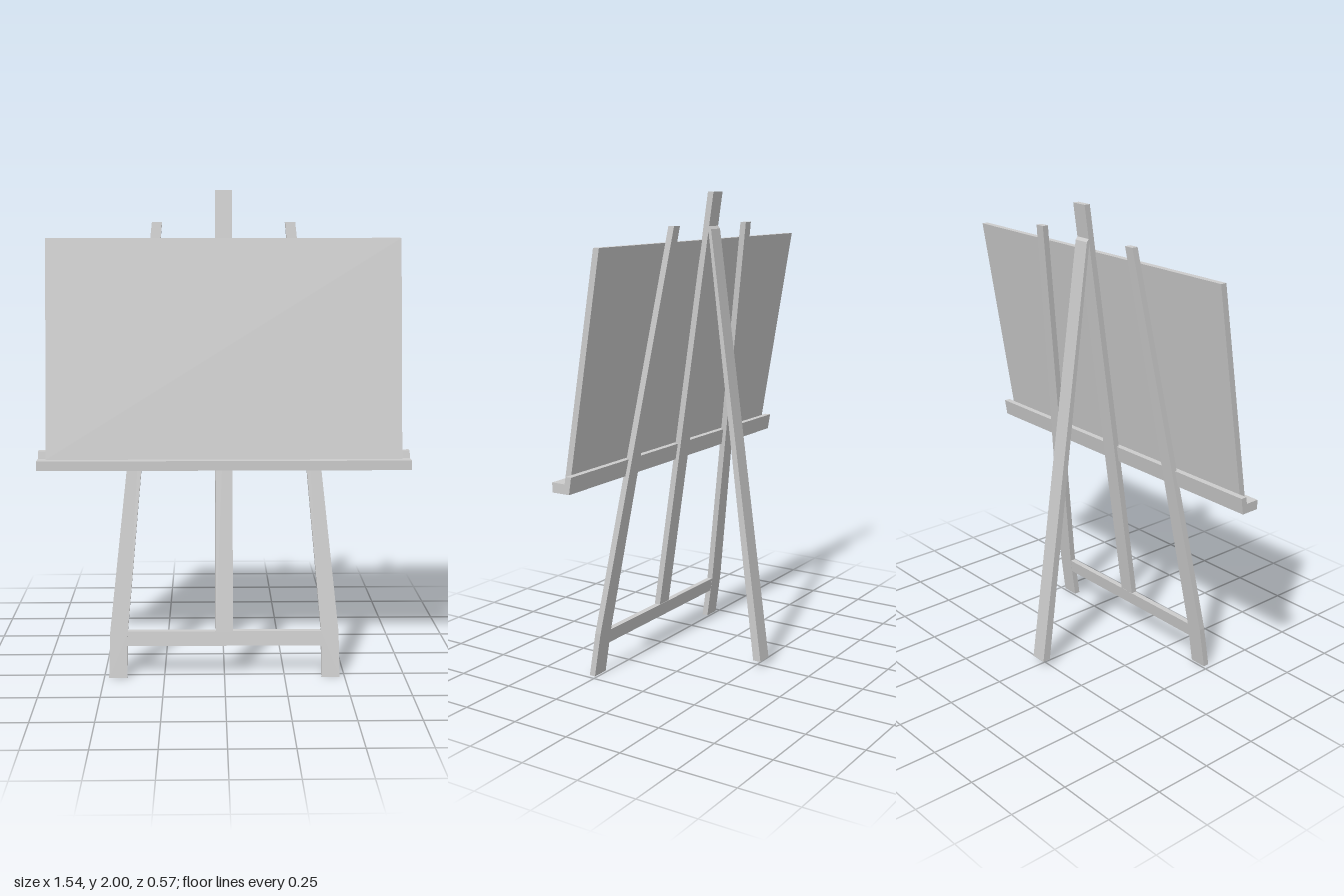
import * as THREE from 'three';

const material = new THREE.MeshStandardMaterial({ color: 0xcccccc, flatShading: true });
const LEAN = 0.155; // backward lean of the front frame

function extrude(points, depth) {
  const shape = new THREE.Shape(points.map(([a, b]) => new THREE.Vector2(a, b)));
  return new THREE.ExtrudeGeometry(shape, { depth, bevelEnabled: false });
}

function addMesh(group, name, geometry) {
  geometry.computeVertexNormals();
  const mesh = new THREE.Mesh(geometry, material);
  mesh.name = name;
  group.add(mesh);
}

// Slab with an (x, y) outline, leaning back; z0 is its rear face at y = 0
function leaningSlab(points, thickness, z0, lean = LEAN) {
  const geometry = extrude(points, thickness);
  const p = geometry.attributes.position;
  for (let i = 0; i < p.count; i++) p.setZ(i, p.getZ(i) + z0 - lean * p.getY(i));
  return geometry;
}

// Bar with a (z, y) side profile, running across x and centred
function crosswise(points, width) {
  const geometry = extrude(points.map(([z, y]) => [-z, y]), width);
  geometry.rotateY(Math.PI / 2);
  geometry.translate(-width / 2, 0, 0);
  return geometry;
}

const rect = (halfWidth, y0, y1) => [[-halfWidth, y0], [halfWidth, y0], [halfWidth, y1], [-halfWidth, y1]];

export function createModel() {
  const easel = new THREE.Group();
  easel.name = 'easel';

  // Tapered front legs with a kink at the crossbar
  const leg = [[0.405, 0], [0.48, 0], [0.475, 0.19], [0.297, 1.87], [0.255, 1.87], [0.402, 0.19]];
  for (const side of [1, -1]) {
    addMesh(easel, side > 0 ? 'leftFrontLeg' : 'rightFrontLeg',
      leaningSlab(leg.map(([x, y]) => [x * side, y]), 0.027, 0.26));
  }

  // Crossbar and the central post standing on it
  addMesh(easel, 'crossbar', leaningSlab(rect(0.403, 0.13, 0.19), 0.025, 0.261));
  addMesh(easel, 'centralPost', leaningSlab(rect(0.035, 0.19, 2), 0.027, 0.262));

  // Rear leg, thinner towards the joint
  addMesh(easel, 'rearLeg',
    crosswise([[-0.25, 0.03], [-0.286, 0.03], [-0.036, 1.85], [-0.02, 1.87]], 0.07));

  // L-shaped ledge with a rear lip
  addMesh(easel, 'ledge', crosswise([
    [0.144, 0.865], [0.225, 0.865], [0.225, 0.905], [0.164, 0.905], [0.159, 0.935], [0.132, 0.935],
  ], 1.54));

  // Board resting on the ledge
  addMesh(easel, 'board', leaningSlab(rect(0.735, 0.905, 1.805), 0.027, 0.321, 0.174));

  return easel;
}
